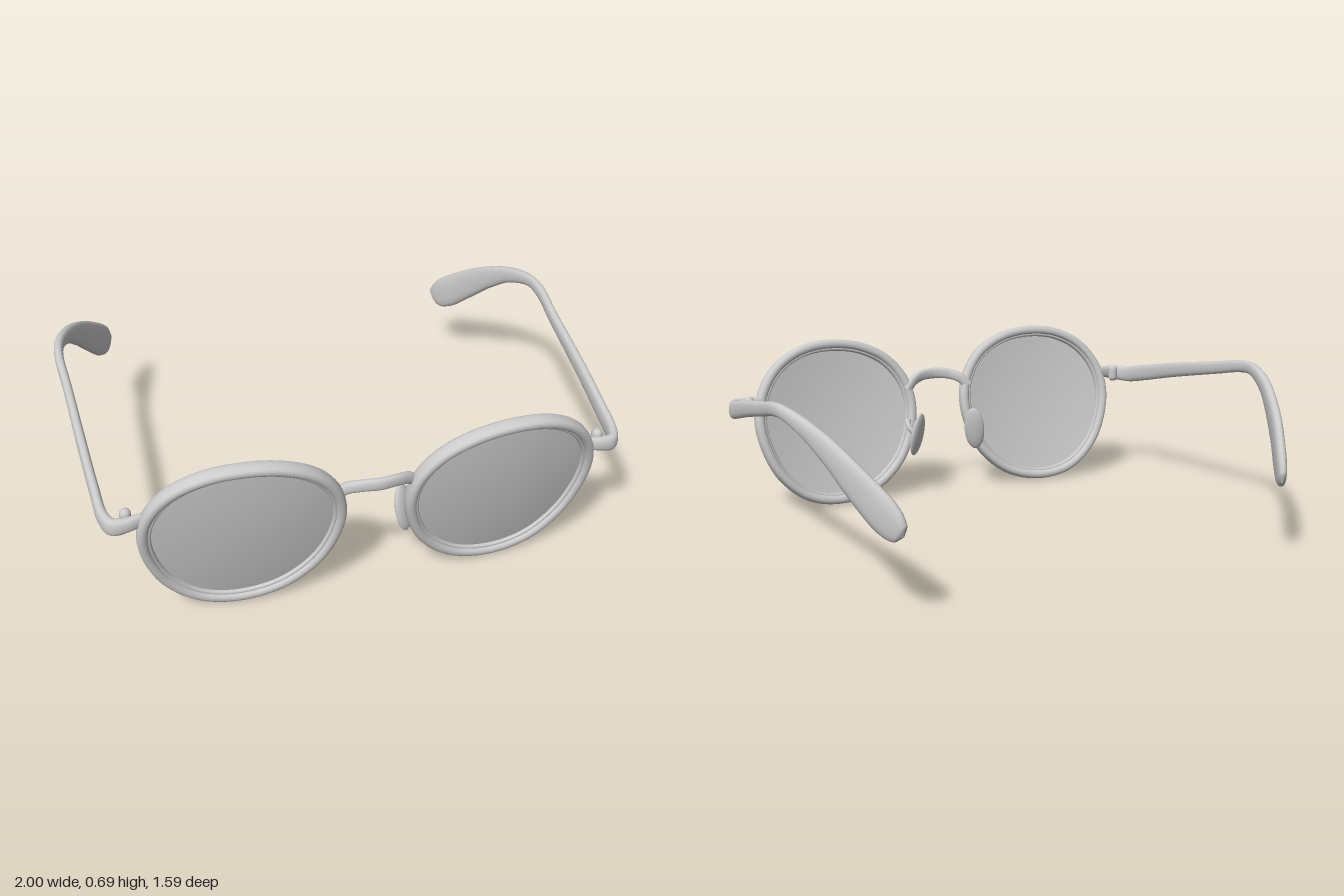
import * as THREE from 'three';

const material = new THREE.MeshStandardMaterial({ color: 0xcccccc });
const lensMaterial = new THREE.MeshStandardMaterial({ color: 0xcccccc, side: THREE.DoubleSide });
const V = (x, y, z) => new THREE.Vector3(x, y, z);

function makeGeometry(positions, indices) {
  const geo = new THREE.BufferGeometry();
  geo.setAttribute('position', new THREE.Float32BufferAttribute(positions, 3));
  geo.setIndex(indices);
  geo.computeVertexNormals();
  return geo;
}

// Sweeps a rounded section along a path; rows are [x, y, z, half height, half thickness]
function sweep(rows, { steps = 60, sides = 16, closed = false, up = V(0, 1, 0), power = 0.8 } = {}) {
  const path = new THREE.CatmullRomCurve3(rows.map(r => V(r[0], r[1], r[2])), closed);
  const size = new THREE.CatmullRomCurve3(rows.map(r => V(r[3], r[4], 0)), closed, 'catmullrom', 0.4);
  const rings = closed ? steps : steps + 1;
  const pos = [], idx = [];
  const bend = v => Math.sign(v) * Math.pow(Math.abs(v), power);
  for (let i = 0; i < rings; i++) {
    const t = i / steps, p = path.getPoint(t), s = size.getPoint(t);
    const T = path.getTangent(t);
    const U = up.clone().addScaledVector(T, -up.dot(T)).normalize();
    const W = T.clone().cross(U);
    for (let j = 0; j < sides; j++) {
      const a = (j / sides) * Math.PI * 2;
      const q = p.clone()
        .addScaledVector(U, bend(Math.cos(a)) * Math.max(s.x, 0.001))
        .addScaledVector(W, bend(Math.sin(a)) * Math.max(s.y, 0.001));
      pos.push(q.x, q.y, q.z);
    }
  }
  for (let i = 0; i < steps; i++) {
    for (let j = 0; j < sides; j++) {
      const n = (i + 1) % rings, k = (j + 1) % sides;
      const a = i * sides + j, b = i * sides + k, c = n * sides + j, d = n * sides + k;
      idx.push(a, b, c, b, d, c);
    }
  }
  return makeGeometry(pos, idx);
}

// Mirrors an indexed geometry across x = 0
function mirrored(geo) {
  const g = geo.clone().scale(-1, 1, 1);
  const ix = g.index.array;
  for (let i = 0; i < ix.length; i += 3) [ix[i], ix[i + 1]] = [ix[i + 1], ix[i]];
  g.computeVertexNormals();
  return g;
}

// Tilted, slightly wrapped surface that carries the rims and lenses
const CX = 0.472, CY = 0.345;
const faceZ = (x, y) => 0.708 + 0.2 * (y - CY) - 0.055 * (x - CX) - 0.15 * (x - CX) ** 2;

// Rim centre line: round, with a fuller top and a narrower bottom
const half = [[0, 0.672], [0.13, 0.654], [0.245, 0.594], [0.318, 0.5], [0.344, 0.39],
  [0.325, 0.27], [0.265, 0.15], [0.15, 0.053], [0, 0.02]];
const outline = [
  ...half,
  ...half.slice(1, -1).reverse().map(([x, y]) => [-x, y]),
].map(([x, y]) => [CX + x + 0.015 * Math.abs(y - 0.4) / 0.3 * (1 - Math.abs(x) / 0.35), y]);

function rimGeometry() {
  const rows = outline.map(([x, y]) => [x, y, faceZ(x, y), 0.029, 0.02]);
  return sweep(rows, { steps: 112, closed: true, up: V(0.055, -0.2, 1).normalize() });
}

// Thin lip that holds the lens inside the rim
function lipGeometry() {
  const rows = outline.map(([x, y]) => {
    const px = CX + (x - CX) * 0.94, py = CY + (y - CY) * 0.94;
    return [px, py, faceZ(px, py), 0.016, 0.009];
  });
  return sweep(rows, { steps: 112, sides: 8, closed: true, up: V(0.055, -0.2, 1).normalize() });
}

// Domed lens made of shrinking copies of the outline
function lensGeometry() {
  const curve = new THREE.CatmullRomCurve3(outline.map(([x, y]) => V(x, y, 0)), true);
  const n = 80, rings = 10, pos = [], idx = [];
  for (let r = 0; r <= rings; r++) {
    const k = 0.96 * (1 - r / rings);
    for (let i = 0; i < n; i++) {
      const p = curve.getPoint(i / n);
      const x = CX + (p.x - CX) * k, y = CY + (p.y - CY) * k;
      pos.push(x, y, faceZ(x, y) + 0.018 * (1 - k * k));
    }
  }
  for (let r = 0; r < rings; r++) {
    for (let i = 0; i < n; i++) {
      const a = r * n + i, b = r * n + (i + 1) % n;
      if (r < rings - 1) idx.push(a, a + n, b);
      idx.push(b, r < rings - 1 ? a + n : a, b + n);
    }
  }
  return makeGeometry(pos, idx);
}

// End piece, straight arm and flattened ear paddle in one sweep
function templeGeometry() {
  return sweep([
    [0.805, 0.468, 0.68, 0.024, 0.014],
    [0.86, 0.462, 0.69, 0.028, 0.018],
    [0.91, 0.455, 0.68, 0.034, 0.02],
    [0.934, 0.456, 0.63, 0.036, 0.019],
    [0.946, 0.482, 0.5, 0.035, 0.018],
    [0.958, 0.525, 0.3, 0.032, 0.018],
    [0.972, 0.582, 0, 0.027, 0.017],
    [0.982, 0.614, -0.17, 0.025, 0.017],
    [0.974, 0.617, -0.26, 0.025, 0.018],
    [0.936, 0.58, -0.39, 0.034, 0.02],
    [0.89, 0.517, -0.5, 0.048, 0.021],
    [0.843, 0.44, -0.6, 0.061, 0.022],
    [0.79, 0.357, -0.695, 0.068, 0.022],
    [0.767, 0.322, -0.735, 0.06, 0.02],
    [0.752, 0.3, -0.762, 0.04, 0.015],
    [0.745, 0.29, -0.773, 0.001, 0.001],
  ], { steps: 120 });
}

// Oval nose pad, leaning outward towards the bottom and turned to the nose
function padGeometry() {
  const X = V(0.8, 0, -0.6), Y = V(-0.34, 0.94, 0);
  const Z = X.clone().cross(Y).normalize();
  Y.copy(Z).cross(X).normalize();
  return new THREE.SphereGeometry(1, 28, 18)
    .scale(0.045, 0.098, 0.018)
    .applyMatrix4(new THREE.Matrix4().makeBasis(X, Y, Z).setPosition(0.136, 0.273, 0.625));
}

function stemGeometry() {
  return sweep([
    [0.15, 0.32, 0.695, 0.013, 0.013],
    [0.165, 0.325, 0.665, 0.012, 0.012],
    [0.165, 0.3, 0.642, 0.012, 0.012],
    [0.142, 0.275, 0.628, 0.012, 0.012],
  ], { steps: 16, sides: 10, power: 1 });
}

// Small hinge barrel behind the end piece
function hingeGeometry() {
  return new THREE.CapsuleGeometry(0.02, 0.035, 6, 14).translate(0.862, 0.462, 0.652);
}

export function createModel() {
  const group = new THREE.Group();
  const add = (name, geo, mat = material) => {
    const mesh = new THREE.Mesh(geo, mat);
    mesh.name = name;
    group.add(mesh);
  };

  const parts = [
    ['Rim', rimGeometry()], ['LensLip', lipGeometry()], ['Lens', lensGeometry(), lensMaterial],
    ['Temple', templeGeometry()], ['NosePad', padGeometry()],
    ['NosePadStem', stemGeometry()], ['Hinge', hingeGeometry()],
  ];
  for (const [name, geo, mat] of parts) {
    add('left' + name, geo, mat);
    add('right' + name, mirrored(geo), mat);
  }

  // Arched bridge between the rims
  const arch = [[0.145, 0.455, 0.715, 0.02, 0.016], [0.115, 0.487, 0.728, 0.022, 0.016],
    [0.065, 0.506, 0.752, 0.023, 0.014]];
  add('bridge', sweep([
    ...arch.map(([x, ...r]) => [-x, ...r]),
    [0, 0.511, 0.765, 0.024, 0.014],
    ...arch.slice().reverse(),
  ], { steps: 40 }));

  return group;
}
